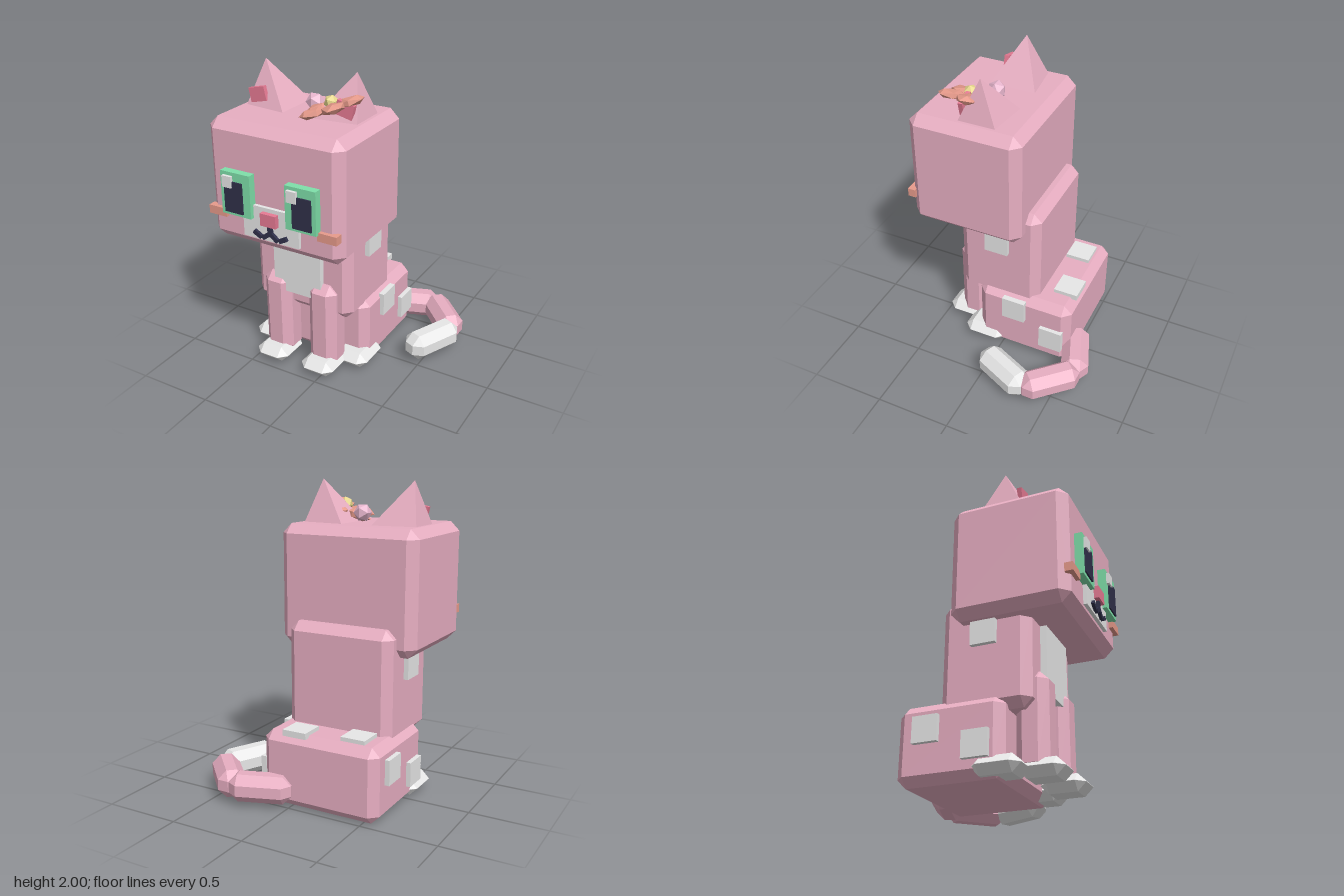
import * as THREE from 'three';
import { ConvexGeometry } from 'three/addons/geometries/ConvexGeometry.js';

const mat = (name, color) => {
  const m = new THREE.MeshStandardMaterial({ color });
  m.name = name;
  return m;
};

export function createModel() {
  const pink = mat('pink fur', 0xf8bbd0);
  const white = mat('white fur', 0xf7f7f7);
  const green = mat('eye green', 0x7fe0aa);
  const dark = mat('dark navy', 0x30304a);
  const rose = mat('rose', 0xf0809a);
  const peach = mat('peach', 0xffab9a);
  const yellow = mat('yellow', 0xf2e294);
  const lilac = mat('bud pink', 0xf3bfd8);

  const model = new THREE.Group();
  model.name = 'cat';
  const CX = -0.2; // the cat's own plane of symmetry

  const add = (name, geometry, material, x = 0, y = 0, z = 0, parent = model) => {
    const mesh = new THREE.Mesh(geometry, material);
    mesh.name = name;
    mesh.position.set(x, y, z);
    parent.add(mesh);
    return mesh;
  };

  // Box with all edges and corners cut off by b
  const chamferBox = (w, h, d, b) => {
    const pts = [];
    for (const sx of [-1, 1]) for (const sy of [-1, 1]) for (const sz of [-1, 1]) {
      const [x, y, z] = [w / 2, h / 2, d / 2];
      pts.push(new THREE.Vector3(sx * x, sy * (y - b), sz * (z - b)));
      pts.push(new THREE.Vector3(sx * (x - b), sy * y, sz * (z - b)));
      pts.push(new THREE.Vector3(sx * (x - b), sy * (y - b), sz * z));
    }
    return new ConvexGeometry(pts);
  };

  // Parts given by their limits on each axis
  const block = (name, m, x0, x1, y0, y1, z0, z1, b) => add(name,
    b ? chamferBox(x1 - x0, y1 - y0, z1 - z0, b) : new THREE.BoxGeometry(x1 - x0, y1 - y0, z1 - z0),
    m, (x0 + x1) / 2, (y0 + y1) / 2, (z0 + z1) / 2);

  // Main masses
  block('head', pink, -0.67, 0.27, 0.95, 1.73, -0.155, 0.6, 0.06);
  block('torso', pink, -0.56, 0.16, 0.4, 1.13, -0.245, 0.32, 0.055);
  block('hips', pink, -0.6, 0.2, 0, 0.48, -0.49, 0.175, 0.055);
  block('chestPatch', white, -0.38, -0.03, 0.53, 0.99, 0.3, 0.36);

  // Mirrored parts
  for (const s of [-1, 1]) {
    const side = s > 0 ? 'left' : 'right';
    const pair = (name, m, cx, w, y0, y1, z0, z1, b) =>
      block(side + name, m, CX + s * cx - w / 2, CX + s * cx + w / 2, y0, y1, z0, z1, b);

    pair('FrontLeg', pink, 0.17, 0.205, 0.04, 0.64, 0.185, 0.385, 0.053);
    pair('FrontPaw', white, 0.175, 0.24, 0.012, 0.12, 0.2, 0.48, 0.053);
    pair('RearPaw', white, 0.315, 0.245, 0.012, 0.12, -0.02, 0.28, 0.053);
    pair('Eye', green, 0.228, 0.21, 1.16, 1.437, 0.58, 0.65);
    pair('Pupil', dark, 0.24, 0.13, 1.18, 1.38, 0.6, 0.66);
    pair('Cheek', peach, 0.39, 0.13, 1.12, 1.175, 0.575, 0.627);
    pair('TorsoPatch', white, 0.37, 0.04, 0.8, 0.96, -0.04, 0.12);

    // Ear pyramid leaning outwards
    const p = (x, y, z) => new THREE.Vector3(CX + s * x, y, z);
    add(side + 'Ear', new ConvexGeometry([
      p(0.32, 2, 0.155), p(0.39, 1.725, 0.03), p(0.39, 1.725, 0.28),
      p(0.105, 1.73, 0), p(0.105, 1.73, 0.31),
    ]), pink);
    add(side + 'InnerEar', new THREE.BoxGeometry(0.115, 0.09, 0.03), rose,
      CX + s * 0.305, 1.805, 0.267).rotation.z = -s * 0.23;
  }

  // Eye highlights, both on the same side of the pupils
  for (const x of [-0.51, -0.055]) block('eyeHighlight', white, x, x + 0.065, 1.342, 1.415, 0.62, 0.67);

  // Muzzle, nose and mouth
  block('muzzle', white, -0.4, -0.005, 1.03, 1.245, 0.58, 0.623);
  block('nose', rose, -0.255, -0.145, 1.14, 1.22, 0.6, 0.655);
  block('mouthLine', dark, -0.215, -0.185, 1.07, 1.145, 0.61, 0.642);
  for (const s of [-1, 1]) {
    for (const [dx, y, r] of [[0.03, 1.068, -0.65], [0.09, 1.068, 0.5]]) {
      add('mouthStroke', new THREE.BoxGeometry(0.06, 0.028, 0.032), dark,
        CX + s * dx, y, 0.626).rotation.z = s * r;
    }
  }

  // Fur patches on the hips
  for (const [y, z] of [[0.375, -0.1], [0.21, -0.37]])
    block('leftHipPatch', white, 0.19, 0.228, y - 0.08, y + 0.08, z - 0.08, z + 0.08);
  for (const [y, z] of [[0.313, -0.29], [0.19, 0.02]])
    block('rightHipPatch', white, -0.63, -0.59, y - 0.08, y + 0.08, z - 0.08, z + 0.08);
  for (const [x, z] of [[-0.407, -0.338], [-0.035, -0.4]])
    block('topHipPatch', white, x - 0.082, x + 0.082, 0.465, 0.505, z - 0.082, z + 0.082);

  // Curled tail with a white tip: centre x, z and direction of each segment
  const tail = [[0.175, -0.54, 0.94, -0.34, pink], [0.47, -0.475, 0.695, 0.72, pink], [0.52, -0.175, -0.41, 0.91, white]];
  tail.forEach(([x, z, dx, dz, m], i) => {
    add(i < 2 ? 'tailSegment' : 'tailTip', chamferBox(0.18, 0.18, 0.4, 0.055), m, x, 0.118, z)
      .rotation.y = Math.atan2(dx, dz);
  });

  // Tilted flower and a bud beside it
  const flower = new THREE.Group();
  flower.name = 'flower';
  flower.position.set(0.015, 1.81, 0.275);
  flower.rotation.z = 0.34;
  model.add(flower);
  for (let i = 0; i < 5; i++) {
    const a = (54 + i * 72) * Math.PI / 180;
    const petal = add('petal', new THREE.IcosahedronGeometry(0.09, 0), peach,
      Math.cos(a) * 0.122, 0, Math.sin(a) * 0.115, flower);
    petal.scale.set(1, 0.36, 0.85);
    petal.rotation.y = -a;
  }
  add('flowerCentre', new THREE.IcosahedronGeometry(0.046, 0), yellow, 0.01, 0.025, 0, flower);
  add('bud', new THREE.IcosahedronGeometry(0.06, 0), lilac, -0.15, 1.79, 0.185);

  return model;
}
